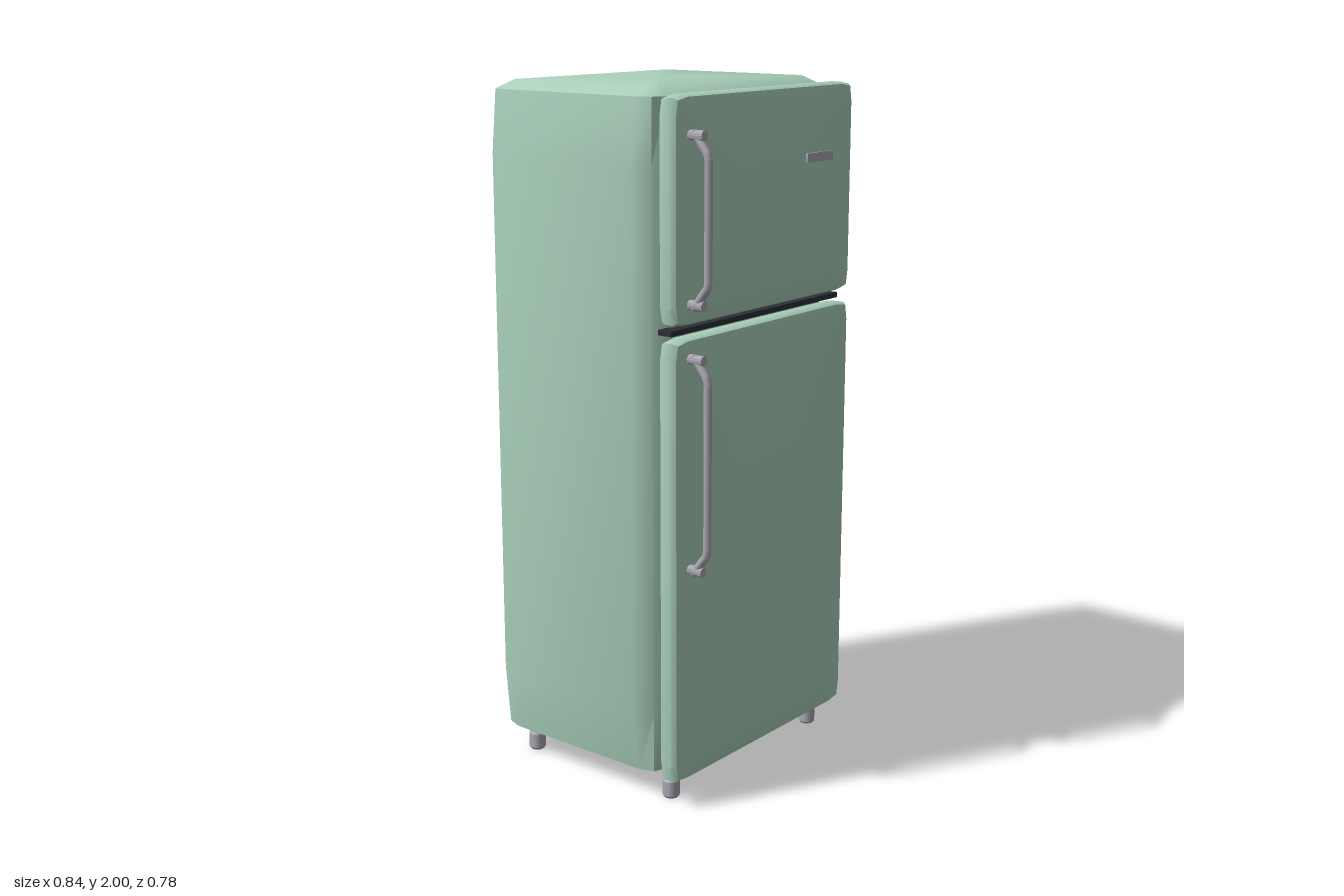
import * as THREE from 'three';
import { toCreasedNormals, mergeVertices } from 'three/addons/utils/BufferGeometryUtils.js';

const mat = (name, color) => new THREE.MeshStandardMaterial({ name, color });

// One ring: a rectangle with each corner cut by three points.
function ring(hx, hy, cut, k) {
  const q = [[hx, hy - cut], [hx - k * cut, hy - k * cut], [hx - cut, hy]];
  const rev = [...q].reverse();
  return [
    ...q,
    ...rev.map(([x, y]) => [-x, y]),
    ...q.map(([x, y]) => [-x, -y]),
    ...rev.map(([x, y]) => [x, -y]),
  ];
}

// Closed solid lofted along z through rings of [z, halfX, halfY, cut, k].
function loft(sections) {
  const pos = [], idx = [], n = 12;
  for (const [z, hx, hy, cut, k] of sections) {
    for (const [x, y] of ring(hx, hy, cut, k)) pos.push(x, y, z);
  }
  const last = sections.length - 1;
  for (let j = 0; j < last; j++) {
    for (let i = 0; i < n; i++) {
      const a = j * n + i, b = j * n + (i + 1) % n;
      idx.push(a, b, b + n, a, b + n, a + n);
    }
  }
  const c = n * (last + 1);
  pos.push(0, 0, sections[0][0], 0, 0, sections[last][0]);
  for (let i = 0; i < n; i++) {
    const i2 = (i + 1) % n;
    idx.push(c, i2, i, c + 1, last * n + i, last * n + i2);
  }
  const g = new THREE.BufferGeometry();
  g.setAttribute('position', new THREE.Float32BufferAttribute(pos, 3));
  g.setIndex(idx);
  return g;
}

const crease = (g, deg = 40) => toCreasedNormals(mergeVertices(g), THREE.MathUtils.degToRad(deg));

export function createModel() {
  const model = new THREE.Group();
  model.name = 'refrigerator';
  const enamel = mat('mint enamel', 0xaad0bb);
  const metal = mat('brushed metal', 0xa9a7b2);
  const dark = mat('dark seal', 0x2b2f35);

  const add = (name, geo, material, x = 0, y = 0, z = 0, parent = model) => {
    const m = new THREE.Mesh(geo, material);
    m.name = name;
    m.position.set(x, y, z);
    parent.add(m);
    return m;
  };

  // Cabinet with softly domed ends
  const cabinet = loft([
    [0.06, 0.34, 0.26, 0.02, 0.3],
    [0.082, 0.395, 0.298, 0.06, 0.25],
    [0.26, 0.419, 0.319, 0.08, 0.36],
    [1.8, 0.419, 0.319, 0.08, 0.36],
    [1.976, 0.395, 0.298, 0.06, 0.25],
    [2.0, 0.34, 0.26, 0.02, 0.3],
  ]).rotateX(-Math.PI / 2);
  add('cabinet', crease(cabinet), enamel, 0, 0, -0.07);

  // Doors
  const addDoor = (name, y0, y1) => {
    const h = (y1 - y0) / 2;
    const g = loft([
      [0.245, 0.335, h - 0.04, 0.02, 0.3],
      [0.257, 0.402, h - 0.006, 0.05, 0.15],
      [0.27, 0.411, h, 0.05, 0.15],
      [0.3, 0.411, h, 0.05, 0.15],
      [0.312, 0.402, h - 0.006, 0.05, 0.15],
      [0.321, 0.335, h - 0.04, 0.02, 0.3],
    ]);
    add(name, crease(g), enamel, 0, (y0 + y1) / 2, 0);
  };
  addDoor('freezerDoor', 1.38, 1.985);
  addDoor('mainDoor', 0.077, 1.345);

  // Dark strip between the doors
  add('doorSeal', new THREE.BoxGeometry(0.78, 0.015, 0.045), dark, 0, 1.36, 0.263);

  // Handles: bent bar with a round mount at each end
  const addHandle = (name, y0, y1) => {
    const handle = new THREE.Group();
    handle.name = name;
    handle.position.x = -0.35;
    model.add(handle);
    const path = new THREE.CurvePath();
    const pts = [
      [y1 - 0.008, 0.33], [y1 - 0.065, 0.374], [y1 - 0.08, 0.378],
      [y0 + 0.08, 0.378], [y0 + 0.065, 0.374], [y0 + 0.008, 0.33],
    ].map(([y, z]) => new THREE.Vector3(0, y, z));
    for (let i = 1; i < pts.length; i++) path.add(new THREE.LineCurve3(pts[i - 1], pts[i]));
    add('handleBar', new THREE.TubeGeometry(path, 60, 0.0115, 10), metal, 0, 0, 0, handle);
    for (const y of [y0 + 0.018, y1 - 0.018]) {
      const mount = new THREE.CylinderGeometry(0.014, 0.014, 0.05, 12).rotateX(Math.PI / 2);
      add('handleMount', crease(mount), metal, 0, y, 0.34, handle);
    }
  };
  addHandle('freezerHandle', 1.42, 1.9);
  addHandle('mainHandle', 0.685, 1.31);

  // Plain trim plate on the freezer door
  add('trimPlate', new THREE.BoxGeometry(0.125, 0.026, 0.016), metal, 0.228, 1.783, 0.319);

  // Feet
  const foot = crease(new THREE.LatheGeometry(
    [[0, 0], [0.021, 0], [0.025, 0.006], [0.025, 0.05], [0.021, 0.056], [0.021, 0.075], [0, 0.075]]
      .map(([r, y]) => new THREE.Vector2(r, y)), 16), 30);
  for (const x of [-0.337, 0.337]) {
    for (const z of [0.24, -0.285]) add('foot', foot, metal, x, 0, z);
  }
  // Short posts carry the feet up into the cabinet
  for (const x of [-0.325, 0.325]) {
    for (const z of [0.175, -0.275]) {
      add('footPost', new THREE.BoxGeometry(0.03, 0.02, 0.03), metal, x, 0.075, z);
    }
  }
  return model;
}
